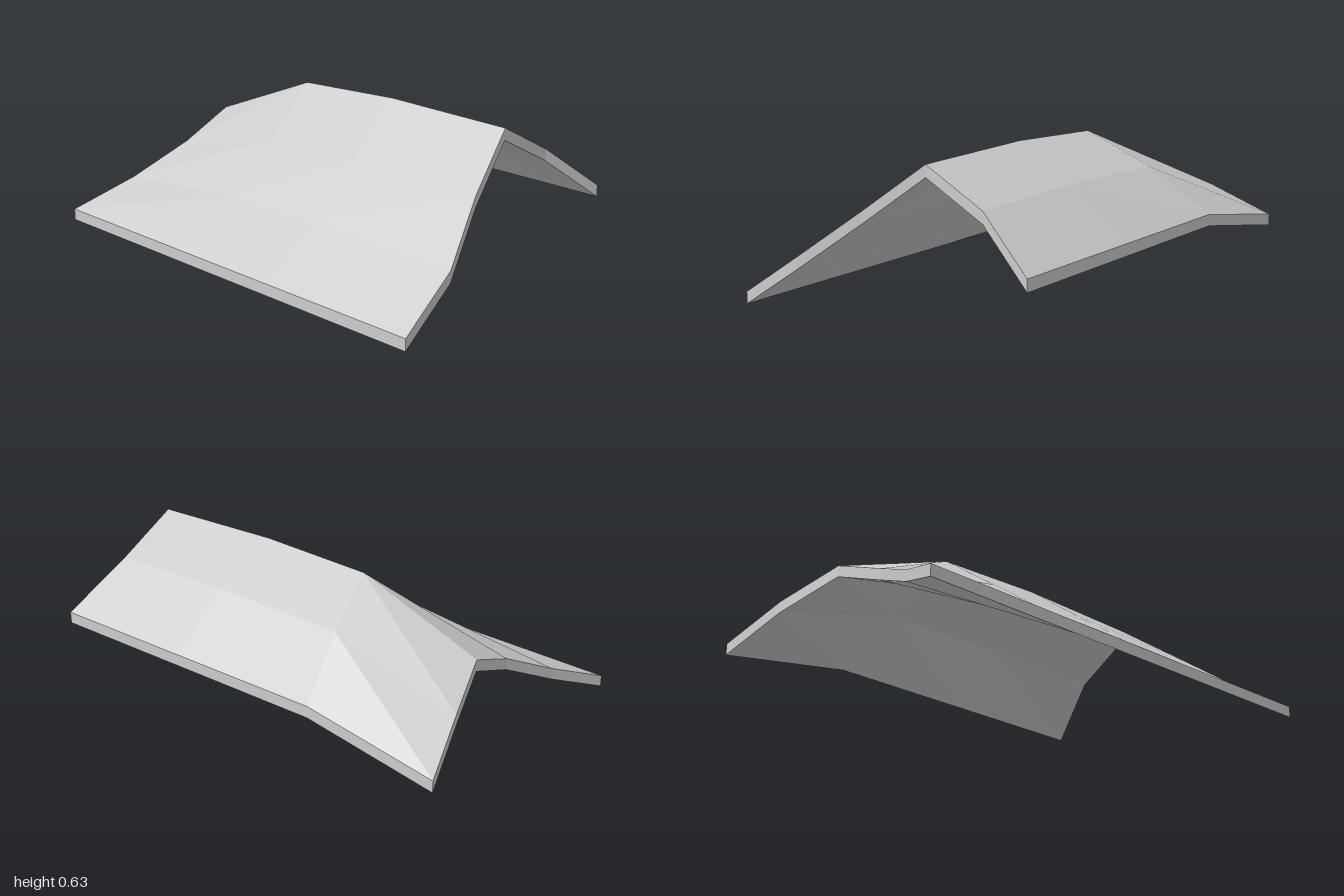
import * as THREE from 'three';

const THICKNESS = 0.05;

// Rows from back to front; each row holds [x, y] of the upper surface from right edge to left edge.
const ROWS = [
  { z: -0.66, points: [[-1.0, 0.185], [-0.42, 0.285], [0.25, 0.285], [0.9, 0.285]] },
  { z: -0.4, points: [[-0.92, 0.31], [-0.35, 0.475], [0.25, 0.49], [0.815, 0.48]] },
  { z: -0.13, points: [[-0.83, 0.4], [-0.28, 0.615], [0.22, 0.635], [0.81, 0.622]] },
  { z: 0.13, points: [[-0.81, 0.293], [-0.23, 0.42], [0.26, 0.43], [0.88, 0.425]] },
  { z: 0.39, points: [[-0.88, 0.163], [-0.22, 0.225], [0.27, 0.23], [0.98, 0.225]] },
  { z: 0.655, points: [[-0.975, 0.05], [-0.28, 0.05], [0.3, 0.05], [1.0, 0.05]] },
];
const RIDGE = 2;

function facetedMesh(name, triangles, material) {
  const geometry = new THREE.BufferGeometry().setFromPoints(triangles);
  geometry.computeVertexNormals();
  const mesh = new THREE.Mesh(geometry, material);
  mesh.name = name;
  return mesh;
}

export function createModel() {
  const model = new THREE.Group();
  model.name = 'roof';
  const grey = new THREE.MeshStandardMaterial({ color: 0xcccccc });
  grey.name = 'light grey';

  const grid = (drop) => ROWS.map(({ z, points }) =>
    points.map(([x, y]) => new THREE.Vector3(x, y - drop, z)));
  const top = grid(0);
  const bottom = grid(THICKNESS);
  const lastRow = ROWS.length - 1;
  const lastCol = ROWS[0].points.length - 1;

  // Upper and lower skins: their creases run along opposite diagonals.
  const upper = [];
  const lower = [];
  for (let r = 0; r < lastRow; r++) {
    for (let c = 0; c < lastCol; c++) {
      const corners = (g) => [g[r][c], g[r][c + 1], g[r + 1][c], g[r + 1][c + 1]];
      const [a, b, d, e] = corners(top);
      const [p, q, s, t] = corners(bottom);
      if (r < RIDGE) {
        upper.push(a, d, e, a, e, b);
        lower.push(p, q, s, q, t, s);
      } else {
        upper.push(a, d, b, b, d, e);
        lower.push(p, t, s, p, q, t);
      }
    }
  }
  model.add(facetedMesh('upperSurface', upper, grey));
  model.add(facetedMesh('underside', lower, grey));

  // Rim: walk around the outline, counter-clockwise seen from above.
  const outline = [];
  for (let r = 0; r < lastRow; r++) outline.push([r, 0]);
  for (let c = 0; c < lastCol; c++) outline.push([lastRow, c]);
  for (let r = lastRow; r > 0; r--) outline.push([r, lastCol]);
  for (let c = lastCol; c > 0; c--) outline.push([0, c]);
  const rim = [];
  outline.forEach(([r, c], i) => {
    const [r2, c2] = outline[(i + 1) % outline.length];
    const a = top[r][c], b = top[r2][c2];
    const p = bottom[r][c], q = bottom[r2][c2];
    rim.push(a, p, b, b, p, q);
  });
  model.add(facetedMesh('rim', rim, grey));

  return model;
}
